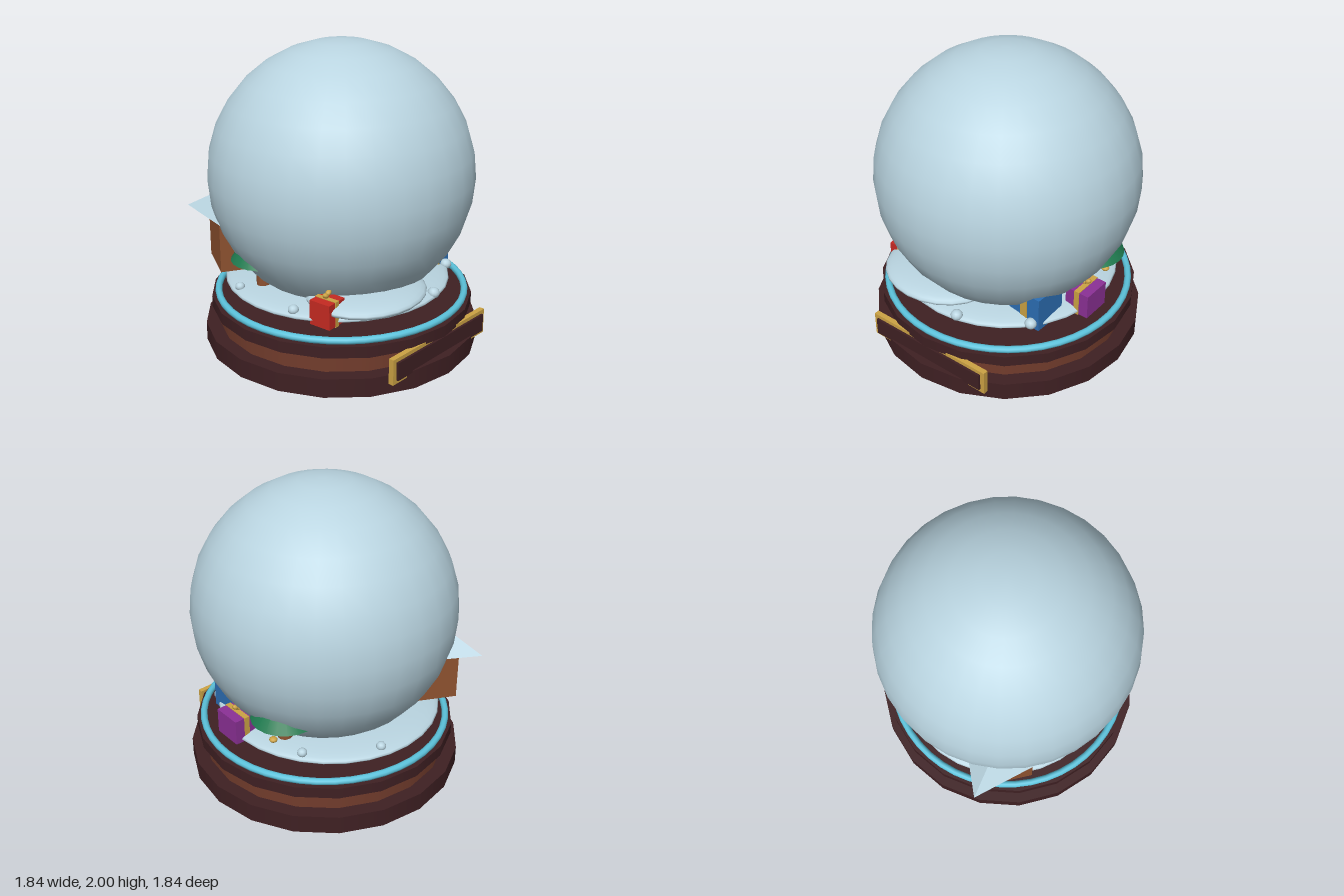
import * as THREE from 'three';

const mat = (name, color, extra = {}) => Object.assign(new THREE.MeshStandardMaterial({ color, ...extra }), { name });

export function createModel() {
  const root = new THREE.Group();
  const ice = mat('frosty white', 0xb9d4e0);
  const darkWood = mat('dark wood', 0x3f2023);
  const wood = mat('warm wood', 0x723c2c);
  const cyan = mat('cyan trim', 0x5cc3dc);
  const gold = mat('gold', 0xcda344);
  const blue = mat('blue wrap', 0x2c6fb5);
  const purple = mat('purple wrap', 0x8c3196);
  const red = mat('red wrap', 0xc62a22);
  const green = mat('tree green', 0x1f7a4f);
  const brown = mat('house brown', 0x8f5230);

  const add = (name, geometry, material, x, y, z, parent = root) => {
    const mesh = new THREE.Mesh(geometry, material);
    mesh.name = name;
    mesh.position.set(x, y, z);
    parent.add(mesh);
    return mesh;
  };
  const disc = (name, r, y0, y1, m) =>
    add(name, new THREE.CylinderGeometry(r, r, y1 - y0, 20), m, 0, (y0 + y1) / 2, 0);
  const blob = (name, m, x, y, z, rx, ry, rz, seg = 20) =>
    add(name, new THREE.SphereGeometry(1, seg, Math.round(seg * 0.7)), m, x, y, z).scale.set(rx, ry, rz);

  // Stepped base
  disc('baseFoot', 0.92, 0, 0.125, darkWood);
  disc('baseBand', 0.83, 0.125, 0.24, wood);
  disc('baseRim', 0.875, 0.24, 0.315, darkWood);
  const trim = add('trimRing', new THREE.TorusGeometry(0.828, 0.023, 10, 48), cyan, 0, 0.337, 0);
  trim.rotation.x = Math.PI / 2;

  // Blank name plate in a gold frame
  add('plateFrame', new THREE.BoxGeometry(0.93, 0.17, 0.035), gold, 0, 0.17, 0.833);
  add('plate', new THREE.BoxGeometry(0.87, 0.12, 0.04), darkWood, 0, 0.17, 0.846);

  // Globe
  add('globe', new THREE.SphereGeometry(0.87, 32, 16), ice, 0, 1.13, 0);

  // Snow bed, drift and snowballs
  blob('snowBed', ice, -0.015, 0.42, -0.025, 0.745, 0.072, 0.755, 32);
  blob('snowDrift', ice, -0.22, 0.487, 0.42, 0.41, 0.068, 0.36, 24);
  const balls = [
    [0.12, 0.44, 0.69, 0.04], [0.54, 0.44, 0.47, 0.04], [-0.67, 0.45, 0.22, 0.035],
    [-0.67, 0.45, -0.27, 0.032], [0.15, 0.455, -0.7, 0.032], [0.57, 0.463, -0.43, 0.032],
  ];
  for (const [x, y, z, r] of balls) blob('snowball', ice, x, y, z, r, r * 0.9, r, 12);
  blob('goldBauble', gold, 0.64, 0.49, -0.235, 0.027, 0.018, 0.027, 12);

  // Trees, mostly inside the globe
  const tree = (x, y, z, r) => {
    const g = new THREE.Group();
    g.name = 'tree';
    g.position.set(x, y, z);
    add('lowerBranches', new THREE.ConeGeometry(r, 0.3, 20), green, 0, 0.15, 0, g);
    add('upperBranches', new THREE.ConeGeometry(r * 0.75, 0.28, 20), green, 0, 0.32, 0, g);
    add('trunk', new THREE.CylinderGeometry(0.05, 0.05, 0.2, 10), brown, 0, -0.1, 0, g);
    root.add(g);
  };
  tree(0.53, 0.61, -0.22, 0.22);
  tree(-0.55, 0.64, -0.17, 0.21);

  // Gifts with one ribbon band and a two-lobed bow
  const gift = (name, m, x, y, z, w, h, d, turn) => {
    const g = new THREE.Group();
    g.name = name;
    g.position.set(x, y, z);
    g.rotation.y = turn;
    add('box', new THREE.BoxGeometry(w, h, d), m, 0, 0, 0, g);
    add('ribbon', new THREE.BoxGeometry(w * 0.22, h + 0.008, d + 0.008), gold, 0, 0, 0, g);
    for (const s of [-1, 1]) {
      const lobe = add('bowLobe', new THREE.SphereGeometry(0.02, 10, 8), gold, s * 0.013, h / 2 + 0.03 + s * 0.005, 0, g);
      lobe.scale.set(1.2, 0.8, 0.9);
      lobe.rotation.z = s * 0.5;
    }
    root.add(g);
  };
  gift('blueGift', blue, 0.475, 0.51, 0.33, 0.24, 0.24, 0.235, -0.06);
  gift('purpleGift', purple, 0.685, 0.483, 0.073, 0.17, 0.17, 0.2, -0.03);
  gift('redGift', red, -0.57, 0.47, 0.41, 0.15, 0.16, 0.15, 0.1);

  // House with a snowy pyramid roof
  const walls = add('houseWalls', new THREE.BoxGeometry(0.35, 0.34, 0.335), brown, -0.476, 0.69, -0.469);
  walls.rotation.y = -0.5;
  const roofShape = new THREE.ConeGeometry(1, 0.21, 4).scale(0.28, 1, 0.39).toNonIndexed();
  roofShape.computeVertexNormals();
  const roof = add('houseRoof', roofShape, ice, -0.476, 0.965, -0.469);
  roof.rotation.y = 0.39;

  return root;
}
